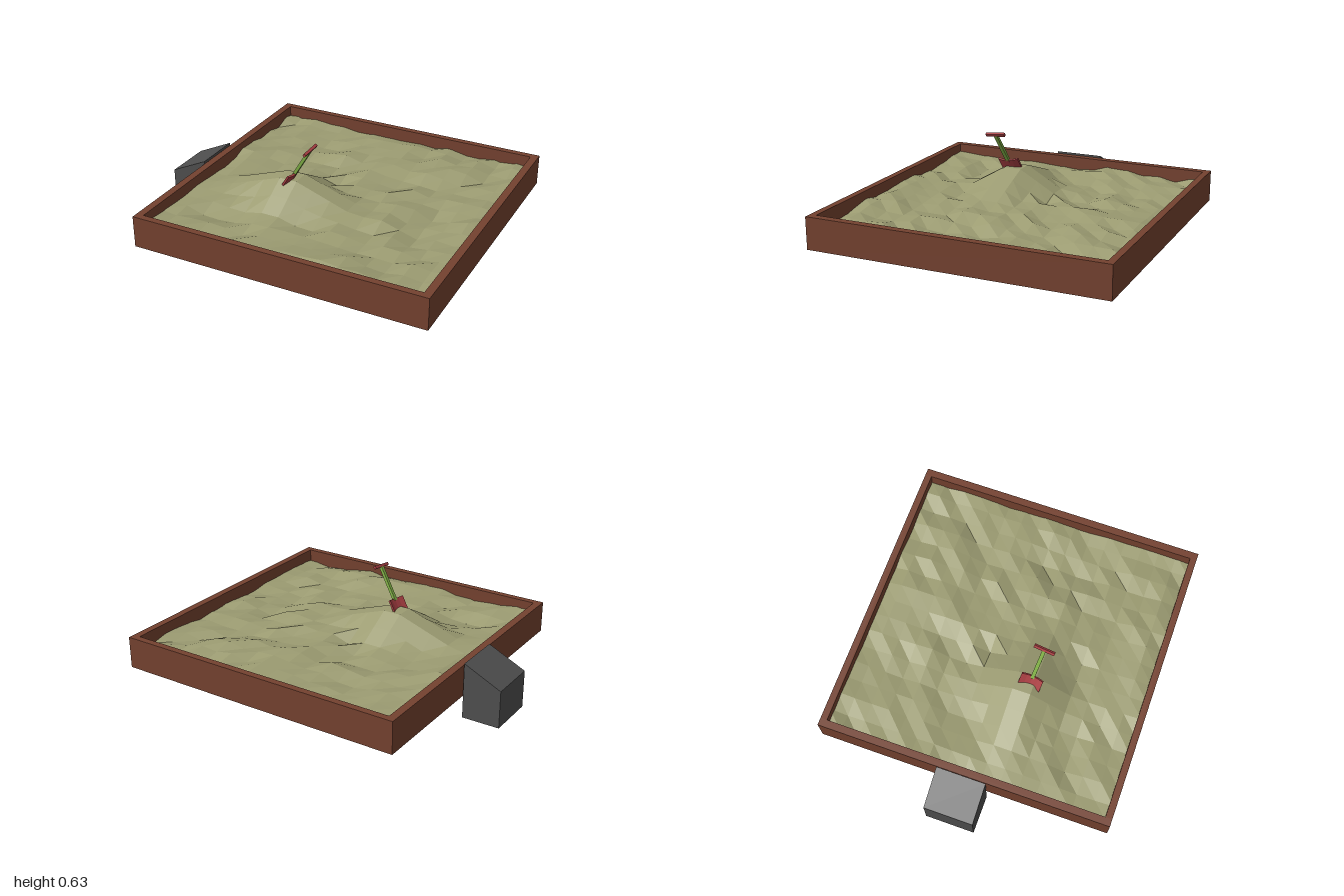
import * as THREE from 'three';

const mat = (color, extra = {}) => {
  const m = new THREE.MeshStandardMaterial({ color, flatShading: true, ...extra });
  return m;
};
const WOOD = mat(0x74412f), SAND = mat(0x9c9c72), STONE = mat(0x4e4e4e);
const RED = mat(0xa83e42), GREEN = mat(0x7fae45);

// Frame extents
const CX = 0.115, W = 1.77, D = 1.76, WALL = 0.045, BOTTOM = 0.13, TOP = 0.32;

function part(parent, name, geometry, material, x = 0, y = 0, z = 0) {
  const mesh = new THREE.Mesh(geometry, material);
  mesh.name = name;
  mesh.position.set(x, y, z);
  parent.add(mesh);
  return mesh;
}
const box = (w, h, d) => new THREE.BoxGeometry(w, h, d);

// Repeatable value per grid point, 0..1
function hash(i, j) {
  const s = Math.sin(i * 127.1 + j * 311.7) * 43758.5453;
  return s - Math.floor(s);
}

function sandHeight(x, z, i, j) {
  const ripple = 0.02 * Math.sin(4 * x + 5 * z) * Math.cos(5 * z - 2 * x);
  const base = 0.25 + ripple + (hash(i, j) - 0.5) * 0.04;
  // Flat-topped mound around the shovel
  const dx = Math.max(-0.21 - x, x + 0.1, 0), dz = Math.max(0.107 - z, z - 0.217, 0);
  const mound = 0.388 - 0.35 * dx - 0.58 * dz;
  // Small dug hollow
  const hollow = 0.045 * Math.max(0, 1 - Math.hypot(x - 0.655, (z - 0.1) * 0.6) / 0.15);
  return Math.max(base - hollow, mound);
}

function buildSand() {
  const n = 16, size = 1.73;
  const g = new THREE.PlaneGeometry(size, size, n, n).rotateX(-Math.PI / 2);
  const p = g.attributes.position;
  for (let k = 0; k < p.count; k++) {
    const x = p.getX(k) + CX, z = p.getZ(k);
    p.setXYZ(k, x, sandHeight(x, z, k % (n + 1), Math.floor(k / (n + 1))), z);
  }
  g.computeVertexNormals();
  return g;
}

function buildShovel() {
  const shovel = new THREE.Group();
  shovel.name = 'shovel';
  // Local y runs up the shaft, local z along the grip
  const y = new THREE.Vector3(0.11, 0.175, 0.025).normalize();
  const x = new THREE.Vector3().crossVectors(y, new THREE.Vector3(-0.01, -0.015, 0.125)).normalize();
  const z = new THREE.Vector3().crossVectors(x, y);
  shovel.quaternion.setFromRotationMatrix(new THREE.Matrix4().makeBasis(x, y, z));
  shovel.position.set(-0.005, 0.612, 0.225);

  part(shovel, 'grip', box(0.016, 0.018, 0.125), RED);
  part(shovel, 'shaft', box(0.018, 0.215, 0.022), GREEN, 0, -0.115, 0);

  // Blade: slab with its sides bent forward
  const blade = box(0.012, 0.08, 0.132).toNonIndexed();
  const bent = new THREE.BoxGeometry(0.012, 0.08, 0.132, 1, 1, 4);
  const p = bent.attributes.position;
  for (let k = 0; k < p.count; k++) {
    const t = p.getZ(k) / 0.066;
    p.setX(k, p.getX(k) - 0.014 * t * t);
  }
  bent.computeVertexNormals();
  blade.dispose();
  part(shovel, 'blade', bent, RED, 0.004, -0.25, 0);
  return shovel;
}

export function createModel() {
  const model = new THREE.Group();
  model.name = 'sandbox';

  // Wooden frame and floor
  const frame = new THREE.Group();
  frame.name = 'frame';
  model.add(frame);
  const h = TOP - BOTTOM, mid = (TOP + BOTTOM) / 2;
  for (const s of [-1, 1]) {
    part(frame, s > 0 ? 'leftWall' : 'rightWall', box(WALL, h, D), WOOD, CX + s * (W - WALL) / 2, mid, 0);
    part(frame, s > 0 ? 'frontWall' : 'backWall', box(W - 2 * WALL, h, WALL - 0.005), WOOD,
      CX, mid, s * (D - WALL + 0.005) / 2);
  }
  part(frame, 'floor', box(W - 2 * WALL, 0.02, D - 2 * WALL + 0.01), WOOD, CX, BOTTOM + 0.01, 0);

  part(model, 'sand', buildSand(), SAND);

  // Block with a sloped top beside the frame
  const side = new THREE.Shape([[-1, 0], [-0.775, 0], [-0.775, 0.332], [-1, 0.225]]
    .map(([a, b]) => new THREE.Vector2(a, b)));
  const step = new THREE.ExtrudeGeometry(side, { depth: 0.296, bevelEnabled: false });
  part(model, 'slopedStep', step, STONE, 0, 0, -0.148);

  model.add(buildShovel());
  return model;
}
